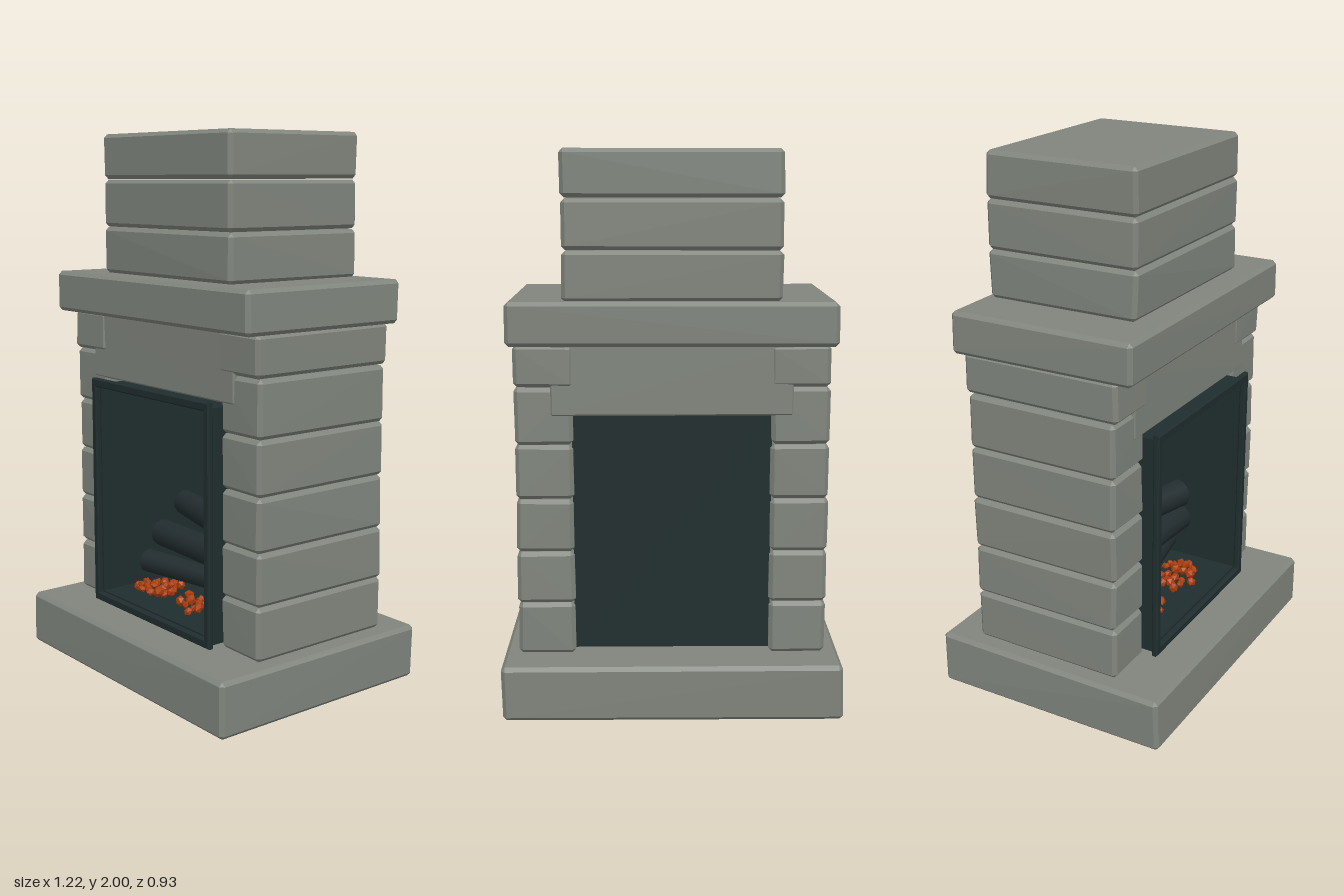
import * as THREE from 'three';
import { ConvexGeometry } from 'three/addons/geometries/ConvexGeometry.js';

const mat = (name, color, flat = false) => {
  const m = new THREE.MeshStandardMaterial({ color, flatShading: flat });
  m.name = name;
  return m;
};

// Small seeded generator
function seeded(seed) {
  return () => {
    seed = (seed * 16807) % 2147483647;
    return seed / 2147483647;
  };
}

export function createModel() {
  const group = new THREE.Group();
  const rand = seeded(4711);
  const stone = mat('grey stone', 0x80857d);
  const iron = mat('dark iron', 0x202d2e);
  const bark = mat('charred wood', 0x222c2e);
  const glow = mat('ember orange', 0xa83c0c, true);

  const add = (name, geometry, material, parent = group) => {
    const mesh = new THREE.Mesh(geometry, material);
    mesh.name = name;
    parent.add(mesh);
    return mesh;
  };

  // Hewn block: chamfered box with slightly uneven corners
  function block(name, [x0, x1], [y0, y1], [z0, z1], bevel = 0.014, wobble = 0.005) {
    const points = [];
    for (const sx of [0, 1]) for (const sy of [0, 1]) for (const sz of [0, 1]) {
      const j = () => rand() * wobble;
      const x = sx ? x1 - j() : x0 + j();
      const y = sy ? y1 - j() * 0.4 : y0 + j() * 0.4;
      const z = sz ? z1 - j() : z0 + j();
      const bx = sx ? -bevel : bevel, by = sy ? -bevel : bevel, bz = sz ? -bevel : bevel;
      points.push(
        new THREE.Vector3(x, y + by, z + bz),
        new THREE.Vector3(x + bx, y, z + bz),
        new THREE.Vector3(x + bx, y + by, z));
    }
    return add(name, new ConvexGeometry(points), stone);
  }

  function box(name, [x0, x1], [y0, y1], [z0, z1], material = iron, parent = group) {
    const mesh = add(name, new THREE.BoxGeometry(x1 - x0, y1 - y0, z1 - z0), material, parent);
    mesh.position.set((x0 + x1) / 2, (y0 + y1) / 2, (z0 + z1) / 2);
    return mesh;
  }

  // Hearth slab and mantel
  block('hearthSlab', [-0.61, 0.61], [0, 0.207], [-0.465, 0.465], 0.014, 0.01);
  block('mantel', [-0.578, 0.578], [1.33, 1.487], [-0.375, 0.338], 0.014, 0.008);

  // Side pillars of stacked blocks; the top pair overlaps the lintel
  const courses = [0.207, 0.4, 0.59, 0.783, 0.98, 1.185, 1.335];
  for (const side of [-1, 1]) {
    for (let i = 0; i < 6; i++) {
      const top = i === 5;
      const inner = top ? 0.34 : 0.345;
      const xs = side > 0 ? [inner, 0.555] : [-0.555, -inner];
      const z = top ? 0.272 : 0.262;
      block('pillarBlock', xs, [courses[i], courses[i + 1]], [-z - 0.07, z]);
    }
  }
  block('lintel', [-0.425, 0.425], [1.085, 1.335], [-0.336, 0.266], 0.006, 0.002);

  // Chimney
  const stack = [1.483, 1.658, 1.834, 2];
  for (let i = 0; i < 3; i++) {
    block('chimneyBlock', [-0.382, 0.382], [stack[i], stack[i + 1]], [-0.347, 0.246]);
  }

  // Open firebox
  const fire = new THREE.Group();
  fire.name = 'firebox';
  group.add(fire);
  box('backPlate', [-0.352, 0.352], [0.225, 1.09], [-0.305, -0.285], iron, fire);
  box('floorPlate', [-0.345, 0.345], [0.222, 0.25], [-0.29, 0.3], iron, fire);
  box('topPlate', [-0.345, 0.345], [1.055, 1.067], [-0.29, 0.3], iron, fire);
  for (const s of [-1, 1]) {
    box('sidePlate', s > 0 ? [0.33, 0.345] : [-0.345, -0.33], [0.225, 1.065], [-0.29, 0.3], iron, fire);
  }

  // Frame with a bevelled rim
  const rect = (P, w, y0, y1) => {
    const p = new P();
    p.moveTo(-w, y0);
    p.lineTo(w, y0);
    p.lineTo(w, y1);
    p.lineTo(-w, y1);
    p.closePath();
    return p;
  };
  const rim = rect(THREE.Shape, 0.355, 0.22, 1.085);
  rim.holes.push(rect(THREE.Path, 0.335, 0.242, 1.063));
  const rimGeometry = new THREE.ExtrudeGeometry(rim, {
    depth: 0.014, bevelEnabled: true, bevelThickness: 0.005, bevelSize: 0.005, bevelSegments: 1,
  });
  add('fireboxFrame', rimGeometry, iron, fire).position.z = 0.305;

  // Logs, each given by two end points and end radii
  const logs = [
    [[-0.27, 0.355, 0.13], [0.265, 0.345, 0.03], 0.046, 0.04],
    [[-0.27, 0.457, 0.06], [0.265, 0.453, 0.08], 0.052, 0.056],
    [[-0.275, 0.558, -0.06], [0.25, 0.568, 0.09], 0.05, 0.056],
  ];
  for (const [a, b, ra, rb] of logs) {
    const start = new THREE.Vector3(...a), end = new THREE.Vector3(...b);
    const axis = end.clone().sub(start);
    const log = add('log', new THREE.CylinderGeometry(rb, ra, axis.length(), 12), bark);
    log.position.copy(start).lerp(end, 0.5);
    log.quaternion.setFromUnitVectors(new THREE.Vector3(0, 1, 0), axis.normalize());
  }

  // Two beds of embers
  for (const [cx, cz, rx] of [[-0.165, 0.15, 0.095], [0.115, 0.14, 0.12]]) {
    for (let i = 0; i < 24; i++) {
      const angle = i * 2.4, r = Math.sqrt((i + 0.5) / 24);
      const ember = add('ember', new THREE.IcosahedronGeometry(0.015 + rand() * 0.008, 0), glow);
      ember.position.set(cx + Math.cos(angle) * r * rx, 0.265 + rand() * 0.025, cz + Math.sin(angle) * r * 0.09);
      ember.rotation.set(rand() * 3, rand() * 3, rand() * 3);
      ember.scale.set(1, 0.8, 1);
    }
  }
  return group;
}
